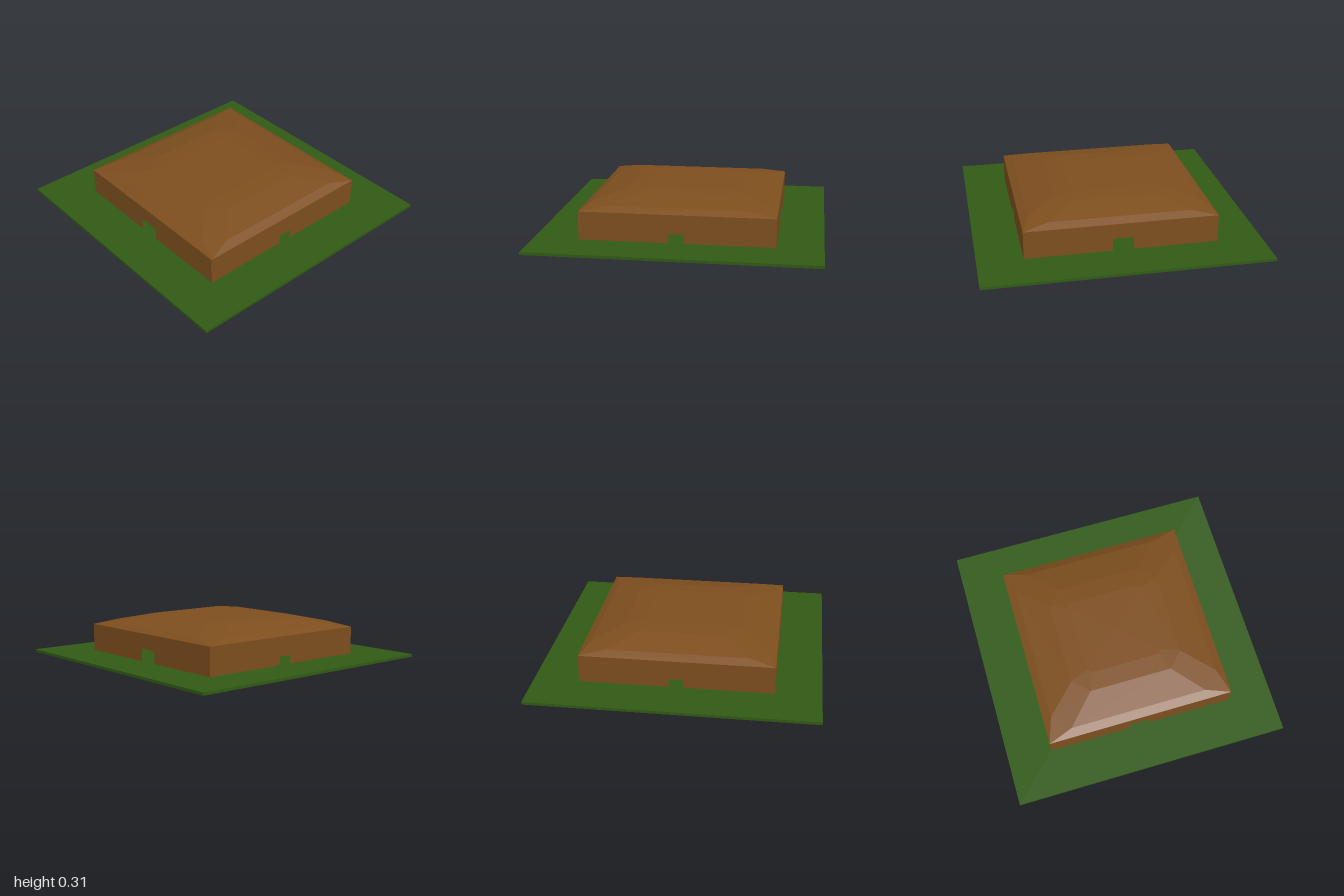
import * as THREE from 'three';

const HALF = 0.68; // half width of the house
const FLOOR = 0.02; // top of the ground slab
const EAVE = 0.22; // top of the walls

function material(color) {
  return new THREE.MeshStandardMaterial({ color, flatShading: true, side: THREE.DoubleSide });
}

// Thin wall with a doorway notch from x0 to x1, up to the given height
function wallGeometry(x0, x1, top) {
  const points = [
    [-HALF, FLOOR], [x0, FLOOR], [x0, top], [x1, top],
    [x1, FLOOR], [HALF, FLOOR], [HALF, EAVE], [-HALF, EAVE],
  ];
  return new THREE.ShapeGeometry(new THREE.Shape(points.map(p => new THREE.Vector2(...p))));
}

// Low dome: stacked eight-sided rings running from a square eave to a flat top
function roofGeometry() {
  // a = distance to the side, b = where the cut corner starts, y = height
  const rings = [
    [HALF, HALF, EAVE], [0.62, 0.5, 0.25], [0.41, 0.3, 0.3], [0.28, 0.25, 0.31],
  ];
  const positions = [];
  for (const [a, b, y] of rings) {
    for (const [x, z] of [[b, a], [a, b], [a, -b], [b, -a], [-b, -a], [-a, -b], [-a, b], [-b, a]]) {
      positions.push(x, y, z);
    }
  }
  positions.push(0, 0.31, 0);
  const index = [];
  const last = (rings.length - 1) * 8;
  for (let i = 0; i < 8; i++) {
    const j = (i + 1) % 8;
    for (let r = 0; r < last; r += 8) {
      // The eave corners are doubled, so skip the empty triangles there
      if (r > 0 || i % 2 === 1) index.push(r + i, r + j, r + 8 + j);
      index.push(r + i, r + 8 + j, r + 8 + i);
    }
    index.push(last + i, last + j, last + 8);
  }
  const geometry = new THREE.BufferGeometry();
  geometry.setAttribute('position', new THREE.Float32BufferAttribute(positions, 3));
  geometry.setIndex(index);
  const flat = geometry.toNonIndexed();
  flat.computeVertexNormals();
  return flat;
}

export function createModel() {
  const model = new THREE.Group();
  const brown = material(0x7d4e1e);

  // Ground slab
  const ground = new THREE.Mesh(new THREE.BoxGeometry(2, FLOOR, 2), material(0x305a14));
  ground.name = 'ground';
  ground.position.y = FLOOR / 2;
  model.add(ground);

  // Four walls around a hollow room, each with a doorway
  const walls = [
    ['frontWall', -0.085, 0.07, 0.11],
    ['leftWall', -0.052, 0.052, 0.085],
    ['backWall', -0.065, 0.08, 0.11],
    ['rightWall', -0.052, 0.052, 0.08],
  ];
  walls.forEach(([name, x0, x1, top], i) => {
    const wall = new THREE.Mesh(wallGeometry(x0, x1, top), brown);
    const angle = i * Math.PI / 2;
    wall.name = name;
    wall.rotation.y = angle;
    wall.position.set(Math.sin(angle) * HALF, 0, Math.cos(angle) * HALF);
    model.add(wall);
  });

  // Roof
  const roof = new THREE.Mesh(roofGeometry(), brown);
  roof.name = 'roof';
  model.add(roof);

  return model;
}
